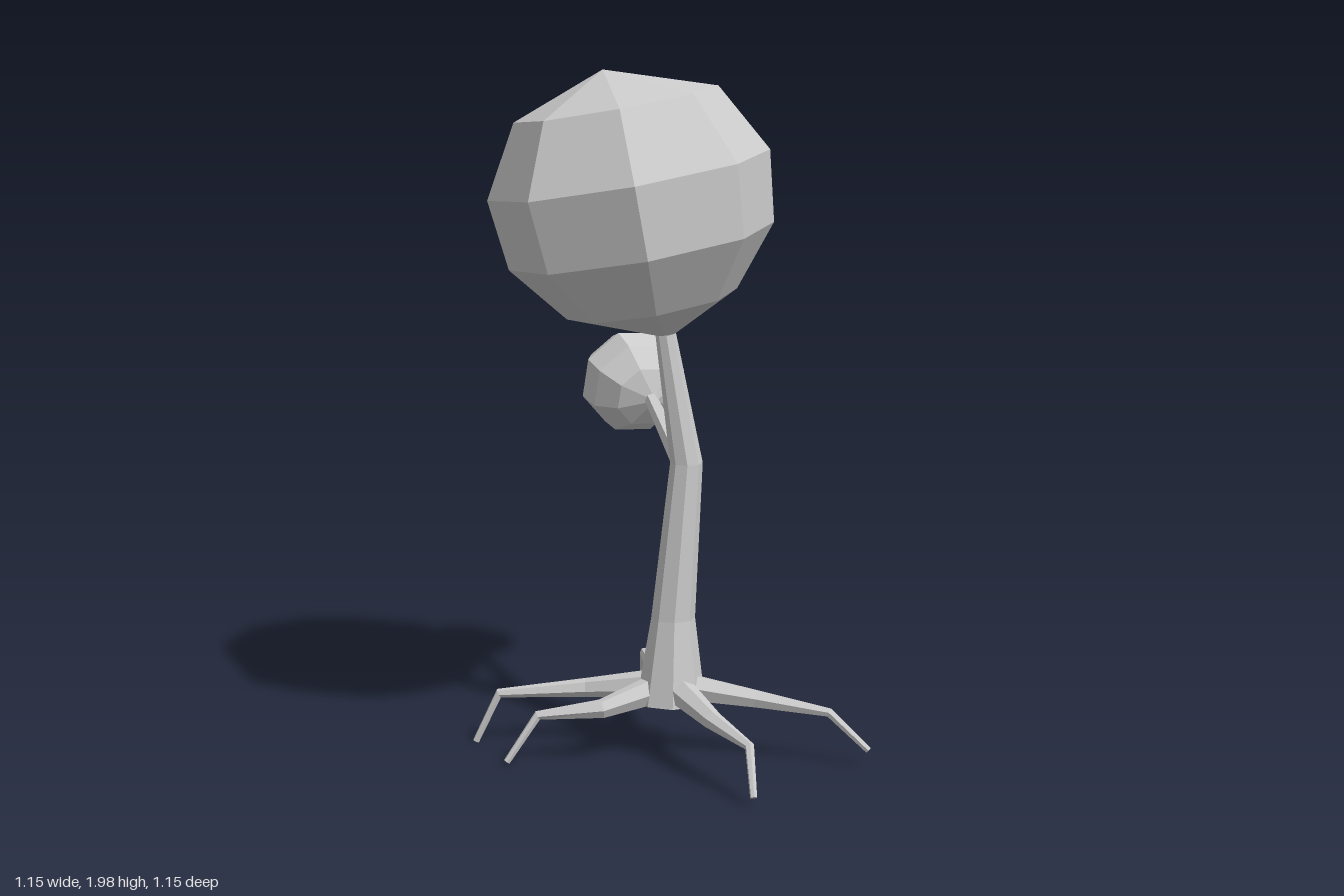
import * as THREE from 'three';

const UP = new THREE.Vector3(0, 1, 0);
const material = new THREE.MeshStandardMaterial({ color: 0xcccccc, flatShading: true });

// Skins a faceted surface over rings [x, y, z, radius]; rings follow the path when bend is true.
function loft(name, rings, sides, bend) {
  const centres = rings.map(r => new THREE.Vector3(r[0], r[1], r[2]));
  const turn = new THREE.Quaternion();
  let last = UP.clone();
  const loops = rings.map((ring, i) => {
    if (bend) {
      const before = centres[Math.max(i - 1, 0)];
      const after = centres[Math.min(i + 1, centres.length - 1)];
      const tangent = after.clone().sub(before).normalize();
      turn.premultiply(new THREE.Quaternion().setFromUnitVectors(last, tangent));
      last = tangent;
    }
    return Array.from({ length: sides }, (_, j) => {
      const a = (j / sides) * Math.PI * 2;
      return new THREE.Vector3(Math.cos(a), 0, Math.sin(a))
        .multiplyScalar(ring[3]).applyQuaternion(turn).add(centres[i]);
    });
  });
  const positions = [];
  const face = (...corners) => corners.forEach(p => positions.push(p.x, p.y, p.z));
  for (let i = 0; i < loops.length - 1; i++) {
    for (let j = 0; j < sides; j++) {
      const k = (j + 1) % sides;
      const [a, b, c, d] = [loops[i][j], loops[i][k], loops[i + 1][k], loops[i + 1][j]];
      if (rings[i + 1][3] > 0) face(a, d, c);
      if (rings[i][3] > 0) face(a, c, b);
    }
  }
  // Flat end caps
  const first = loops[0], end = loops[loops.length - 1];
  for (let j = 0; j < sides; j++) {
    const k = (j + 1) % sides;
    if (rings[0][3] > 0) face(centres[0], first[j], first[k]);
    if (rings[rings.length - 1][3] > 0) face(centres[centres.length - 1], end[k], end[j]);
  }
  const geometry = new THREE.BufferGeometry();
  geometry.setAttribute('position', new THREE.Float32BufferAttribute(positions, 3));
  geometry.computeVertexNormals();
  const mesh = new THREE.Mesh(geometry, material);
  mesh.name = name;
  return mesh;
}

// Eight-sided leaf ball, its widest ring at the local origin
function leafBall(name, position, axis, scale) {
  const ball = loft(name, [
    [0.03, -0.475, 0, 0], [0, -0.37, 0, 0.245], [0, -0.203, 0, 0.38],
    [0, 0, 0, 0.403], [0, 0.2, 0, 0.29], [-0.02, 0.3, 0, 0],
  ], 8, false);
  ball.position.set(...position);
  ball.quaternion.setFromUnitVectors(UP, new THREE.Vector3(...axis).normalize());
  ball.scale.setScalar(scale);
  return ball;
}

export function createModel() {
  const tree = new THREE.Group();
  tree.name = 'tree';

  // Bent trunk flaring at the foot
  tree.add(loft('trunk', [
    [0.005, 0.17, 0.1, 0.1], [0.012, 0.42, 0.1, 0.064],
    [0.05, 0.88, 0.1, 0.047], [-0.012, 1.27, 0.1, 0.029],
  ], 8, false));

  // Side branch
  tree.add(loft('branch', [[0.04, 0.87, 0.09, 0.03], [-0.035, 1.0, -0.3, 0.02]], 6, true));

  // Crown and the smaller leaf ball on the branch
  tree.add(leafBall('crown', [-0.113, 1.705, 0.1], [-0.175, 0.985, 0], 1));
  tree.add(leafBall('branchLeaves', [-0.09, 1.035, -0.45], [-0.315, 0.252, -0.915], 0.4));

  // Five roots: start, middle, knee and tip of each
  const roots = [
    [[0.03, 0.215, 0.11], [0.25, 0.19, 0.17], [0.455, 0.168, 0.24], [0.565, 0.065, 0.278]],
    [[0.02, 0.215, 0.13], [0.11, 0.185, 0.34], [0.2, 0.162, 0.5], [0.205, 0.042, 0.575]],
    [[-0.03, 0.21, 0.11], [-0.2, 0.175, 0.19], [-0.385, 0.158, 0.19], [-0.475, 0.028, 0.213]],
    [[-0.03, 0.215, 0.09], [-0.24, 0.185, 0.02], [-0.5, 0.165, 0], [-0.57, 0.018, 0]],
    [[0, 0.215, 0.07], [-0.03, 0.185, -0.17], [-0.05, 0.162, -0.4], [-0.05, 0.048, -0.488]],
  ];
  const radii = [0.045, 0.028, 0.014, 0.01];
  const rootGroup = new THREE.Group();
  rootGroup.name = 'roots';
  roots.forEach((path, n) => {
    rootGroup.add(loft(`root${n + 1}`, path.map((p, i) => [...p, radii[i]]), 6, true));
  });
  tree.add(rootGroup);

  return tree;
}
